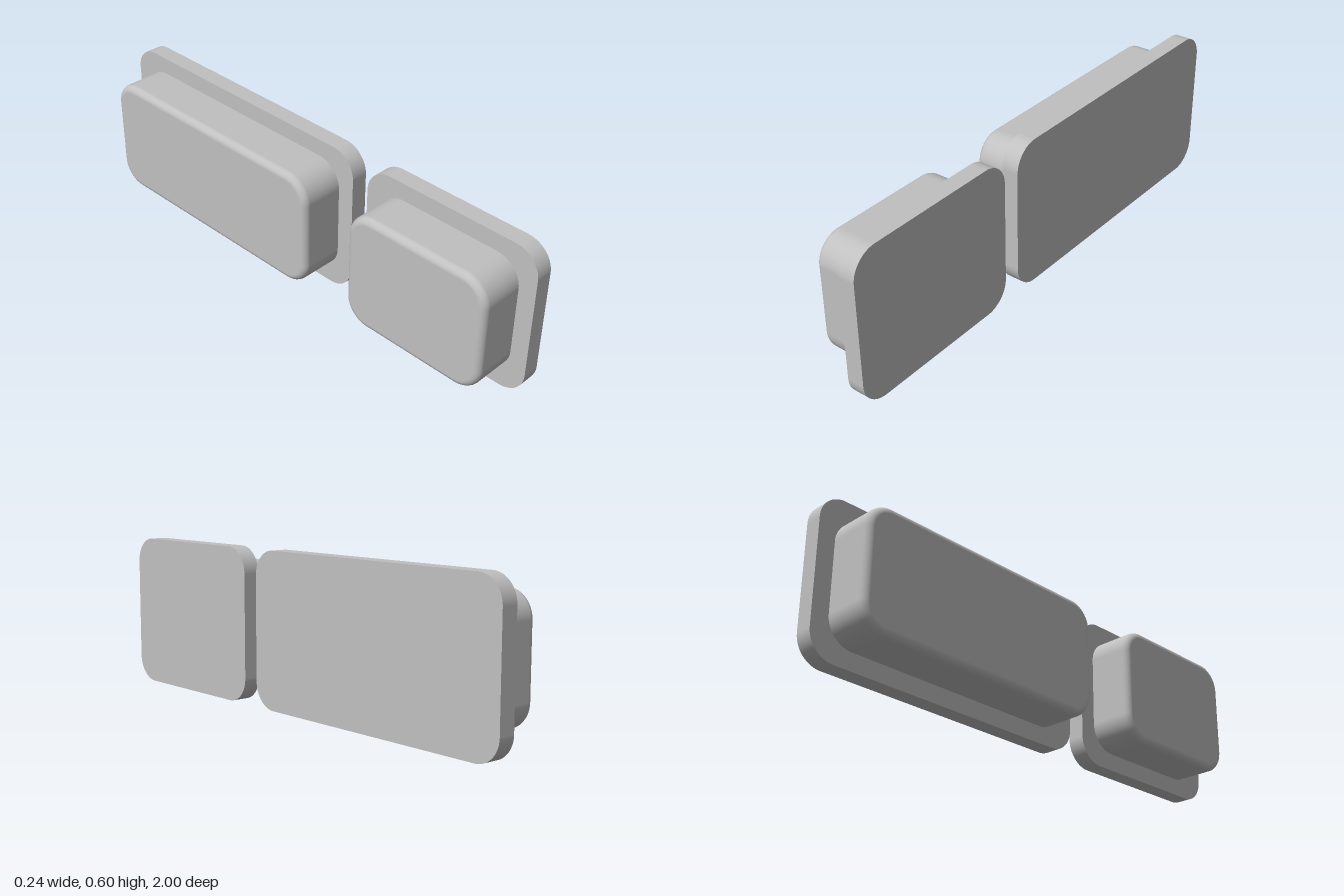
import * as THREE from 'three';

// Rounded rectangle in the z/y plane
function roundedRect(z0, z1, y0, y1, r) {
  const s = new THREE.Shape();
  s.absarc(z1 - r, y0 + r, r, -Math.PI / 2, 0);
  s.absarc(z1 - r, y1 - r, r, 0, Math.PI / 2);
  s.absarc(z0 + r, y1 - r, r, Math.PI / 2, Math.PI);
  s.absarc(z0 + r, y0 + r, r, Math.PI, Math.PI * 1.5);
  s.closePath();
  return s;
}

// Slab from xMin to xMax with rounded corners r and an edge fillet f
function slab(xMin, xMax, z0, z1, y0, y1, r, f) {
  const geo = new THREE.ExtrudeGeometry(roundedRect(z0, z1, y0, y1, r), {
    depth: xMax - xMin - 2 * f,
    curveSegments: 12,
    bevelEnabled: f > 0,
    bevelThickness: f,
    bevelSize: f,
    bevelOffset: -f,
    bevelSegments: 6,
  });
  geo.rotateY(-Math.PI / 2);
  geo.translate(xMax - f, 0, 0);

  // Smooth normals on walls and fillets; the flat ends stay flat
  const p = geo.attributes.position, n = geo.attributes.normal;
  const clamp = THREE.MathUtils.clamp;
  for (let i = 0; i < p.count; i++) {
    if (Math.abs(n.getX(i)) > 0.9999) continue;
    const x = p.getX(i), y = p.getY(i), z = p.getZ(i);
    const dy = y - clamp(y, y0 + r, y1 - r);
    const dz = z - clamp(z, z0 + r, z1 - r);
    const len = Math.hypot(dy, dz) || 1;
    const nx = f > 0 ? clamp((x - clamp(x, xMin + f, xMax - f)) / f, -1, 1) : 0;
    const side = Math.sqrt(1 - nx * nx);
    n.setXYZ(i, nx, (dy / len) * side, (dz / len) * side);
  }
  return geo;
}

export function createModel() {
  const grey = new THREE.MeshStandardMaterial({ color: 0xc0c0c0 });
  grey.name = 'light grey';
  const model = new THREE.Group();
  model.name = 'plugPair';

  const add = (parent, name, geo) => {
    const mesh = new THREE.Mesh(geo, grey);
    mesh.name = name;
    parent.add(mesh);
  };

  // Each plug: a thin flange with a smaller filleted block behind it
  const inset = 0.067;
  for (const [name, z0, z1] of [['shortPlug', 0.27, 1], ['longPlug', -1, 0.2]]) {
    const plug = new THREE.Group();
    plug.name = name;
    add(plug, 'flange', slab(0.053, 0.12, z0, z1, 0, 0.6, 0.1, 0));
    // The block's inner end is sunk into the flange
    add(plug, 'block', slab(-0.12, 0.085, z0 + inset, z1 - inset, inset, 0.6 - inset, 0.1, 0.027));
    model.add(plug);
  }
  return model;
}
